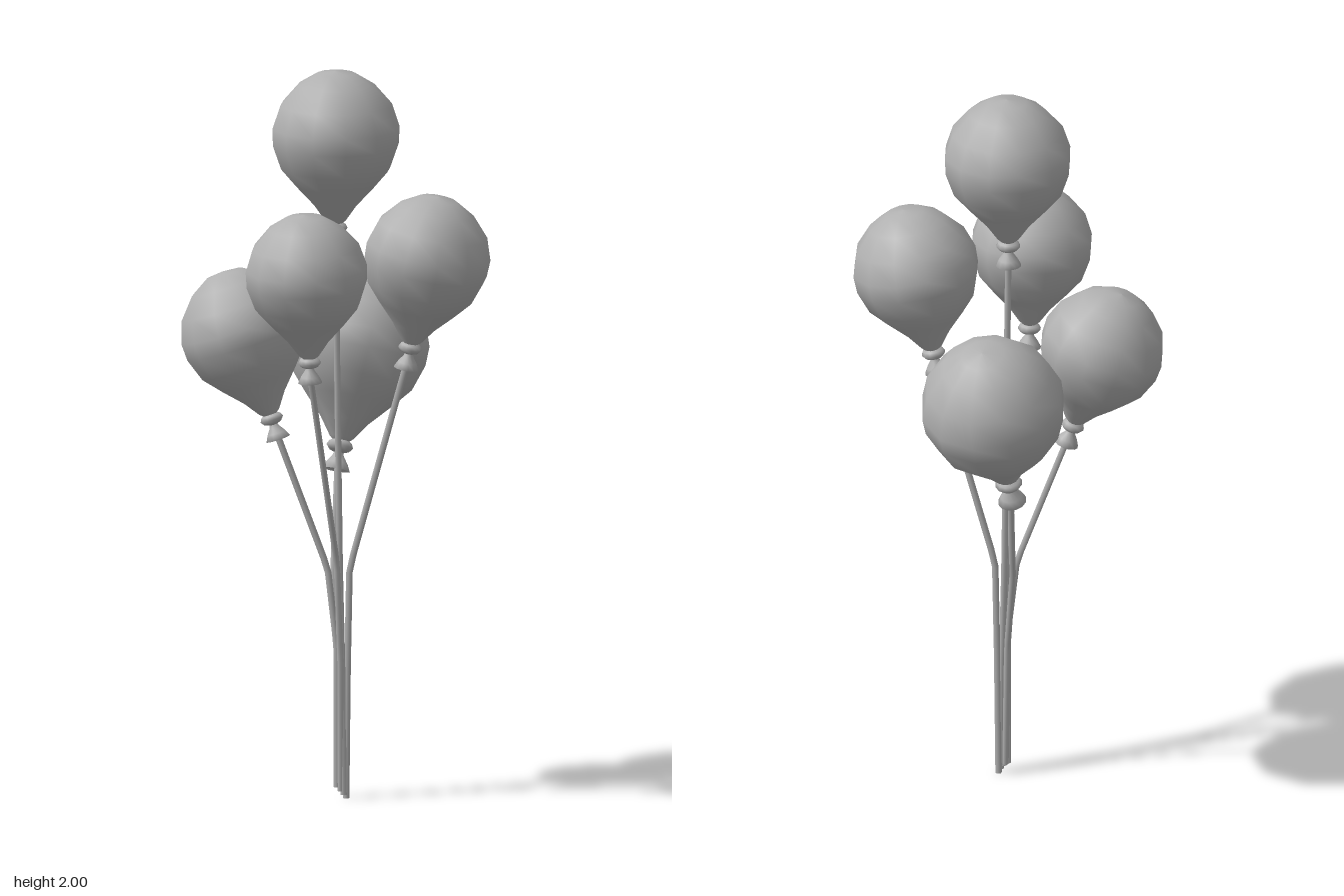
import * as THREE from 'three';

const SIDES = 12;
const UP = new THREE.Vector3(0, 1, 0);
const v3 = (p) => new THREE.Vector3(...p);
const profile = (pts) => pts.map(([r, y]) => new THREE.Vector2(r, y));

// Profiles as [radius, height], in units of the balloon radius, from the tail upwards
const BODY = profile([
  [0.1, 0.4], [0.17, 0.46], [0.34, 0.7], [0.62, 1.0], [0.86, 1.28], [0.99, 1.65],
  [1.0, 1.92], [0.88, 2.28], [0.6, 2.6], [0.3, 2.78], [0, 2.82],
]);
const BEAD = profile([[0.06, 0.24], [0.14, 0.27], [0.19, 0.33], [0.16, 0.39], [0.09, 0.43]]);
const SKIRT = profile([[0, 0.06], [0.14, 0.03], [0.2, 0], [0.15, 0.1], [0.08, 0.2], [0.06, 0.26]]);
const CENTRE = 1.8;

// tail: base of the knot, centre: middle of the round part,
// string: lower points of the string, running down to its end
const BALLOONS = [
  { name: 'topBalloon', r: 0.174, tail: [0, 1.51, 0.035], centre: [0.005, 1.824, 0.044],
    string: [[0.004, 0.63, 0.012], [0.008, 0.35, 0.004], [0.012, 0.01, 0.004]] },
  { name: 'frontBalloon', r: 0.166, tail: [0, 1.17, 0.225], centre: [0, 1.472, 0.253],
    string: [[0.004, 0.65, 0.035], [0.006, 0.38, 0.014], [0.004, 0.02, 0.006]] },
  { name: 'leftBalloon', r: 0.172, tail: [0.185, 1.185, -0.015], centre: [0.246, 1.49, -0.016],
    string: [[0.025, 0.63, -0.006], [0.02, 0.35, -0.004], [0.016, 0, -0.004]] },
  { name: 'rightBalloon', r: 0.17, tail: [-0.155, 0.985, 0.062], centre: [-0.25, 1.275, 0.08],
    string: [[-0.028, 0.63, 0.02], [-0.006, 0.42, 0.01], [-0.008, 0.03, 0.004]] },
  { name: 'backBalloon', r: 0.196, tail: [-0.055, 0.88, -0.112], centre: [-0.035, 1.212, -0.224],
    string: [[-0.036, 0.62, -0.044], [-0.012, 0.38, -0.016], [-0.004, 0.03, -0.006]] },
];

export function createModel() {
  const model = new THREE.Group();
  model.name = 'balloonBunch';
  const grey = new THREE.MeshStandardMaterial({ color: 0xb0b0b0, side: THREE.DoubleSide });
  grey.name = 'grey';

  const add = (parent, geometry, name) => {
    const mesh = new THREE.Mesh(geometry, grey);
    mesh.name = name;
    parent.add(mesh);
    return mesh;
  };

  for (const b of BALLOONS) {
    const tail = v3(b.tail);
    const axis = v3(b.centre).sub(tail).normalize();

    // Balloon with its knot, leaning along its own axis
    const balloon = new THREE.Group();
    balloon.name = b.name;
    add(balloon, new THREE.LatheGeometry(BODY, SIDES), 'body');
    add(balloon, new THREE.LatheGeometry(BEAD, SIDES), 'knotBead');
    add(balloon, new THREE.LatheGeometry(SKIRT, SIDES), 'knotSkirt');
    balloon.scale.setScalar(b.r);
    balloon.quaternion.setFromUnitVectors(UP, axis);
    balloon.position.copy(v3(b.centre)).addScaledVector(axis, -CENTRE * b.r);
    model.add(balloon);

    // String bending into the gathered stem
    const points = [tail.clone().addScaledVector(axis, 0.03), ...b.string.map(v3)];
    const path = new THREE.CurvePath();
    for (let i = 1; i < points.length; i++) path.add(new THREE.LineCurve3(points[i - 1], points[i]));
    add(model, new THREE.TubeGeometry(path, 24, 0.009, 6), b.name + 'String');

    // Closed lower end of the string
    const cap = add(model, new THREE.CircleGeometry(0.009, 6), b.name + 'StringEnd');
    cap.rotation.x = Math.PI / 2;
    cap.position.copy(points[points.length - 1]);
  }
  return model;
}
